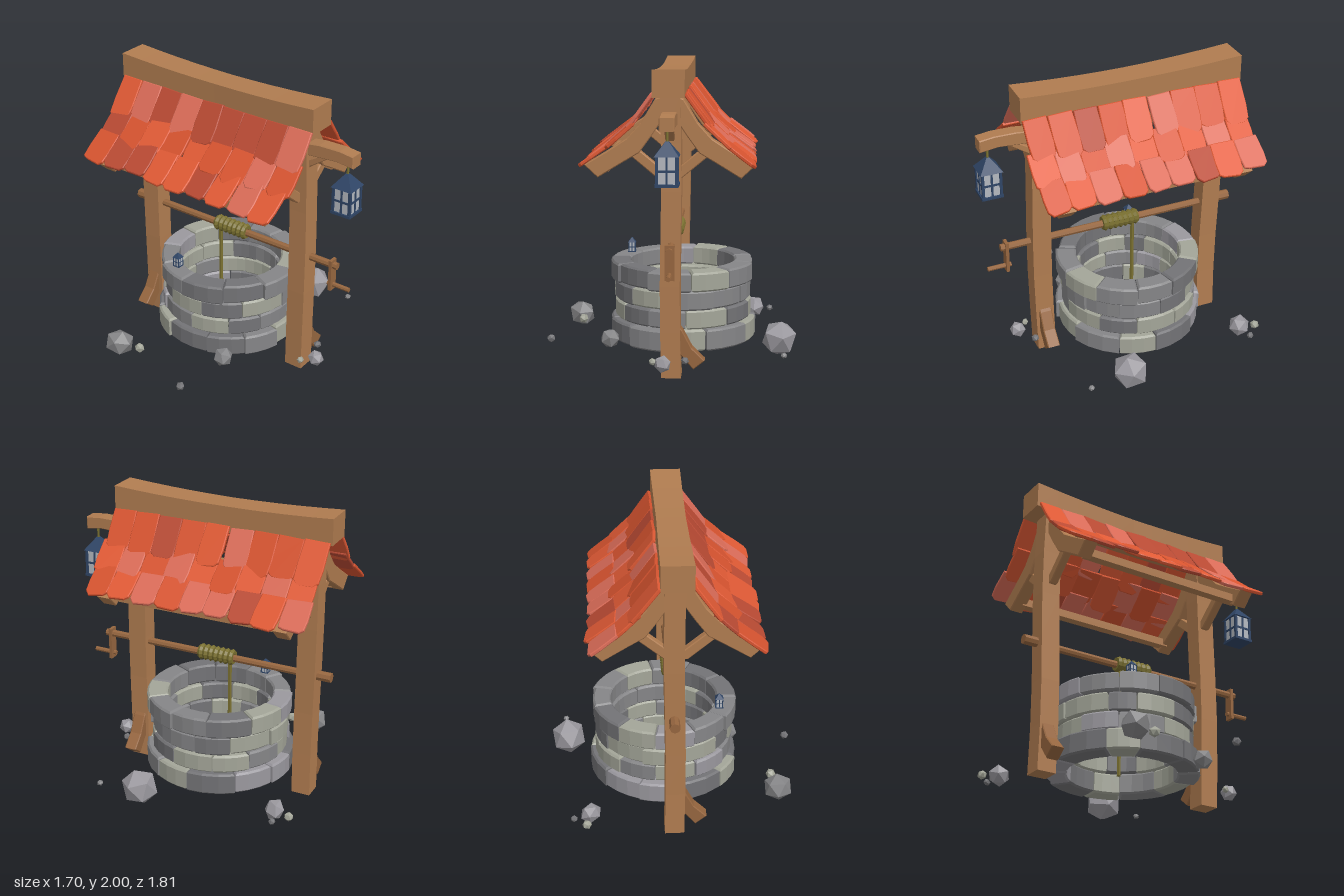
import * as THREE from 'three';

let seed = 7;
const rnd = () => (seed = (seed * 16807) % 2147483647) / 2147483647;
const jit = (a) => (rnd() * 2 - 1) * a;
const mat = (color) => new THREE.MeshStandardMaterial({ color, flatShading: true });
const WOOD = mat(0xb07c50), DARKWOOD = mat(0x96663f), ROPE = mat(0x7a7030);
const METAL = mat(0x2f4566), GLASS = mat(0xb4b8bf);
const STONES = [0x858587, 0x9a989e, 0xa3a598, 0x737376].map(mat);
const TILES = [0xe05a35, 0xb94a33, 0xdb6c58, 0xd6532f].map(mat);
const CX = 0.015; // centre line of the timber frame

export function createModel() {
  const root = new THREE.Group();

  const add = (name, geo, material, x = 0, y = 0, z = 0, parent = root) => {
    const m = new THREE.Mesh(geo, material);
    m.name = name;
    m.position.set(x, y, z);
    parent.add(m);
    return m;
  };
  const group = (name) => {
    const g = new THREE.Group();
    g.name = name;
    root.add(g);
    return g;
  };
  const box = (name, w, h, d, material, x, y, z, parent) =>
    add(name, new THREE.BoxGeometry(w, h, d), material, x, y, z, parent);
  // moves every vertex of a geometry by a rule
  const warp = (geo, fn) => {
    const p = geo.attributes.position, v = new THREE.Vector3();
    for (let i = 0; i < p.count; i++) {
      fn(v.fromBufferAttribute(p, i));
      p.setXYZ(i, v.x, v.y, v.z);
    }
    geo.computeVertexNormals();
    return geo;
  };
  // outline in x/y, extruded along z with a small bevel, from z0 to z1
  const slab = (pts, z0, z1, bevel = 0.006) => {
    const shape = new THREE.Shape(pts.map(([x, y]) => new THREE.Vector2(x, y)));
    return new THREE.ExtrudeGeometry(shape, {
      depth: z1 - z0 - 2 * bevel, bevelEnabled: true, bevelSegments: 1,
      bevelSize: bevel, bevelThickness: bevel, bevelOffset: -bevel,
    }).translate(0, 0, z0 + bevel);
  };

  // Posts, slightly crooked
  for (const [name, z] of [['frontPost', 0.508], ['backPost', -0.738]]) {
    const geo = warp(new THREE.BoxGeometry(0.128, 1.84, 0.13, 1, 6, 1), (v) => {
      v.z += 0.008 * Math.sin(v.y * 3 + z * 4);
      v.x += 0.005 * Math.sin(v.y * 4);
    });
    add(name, geo, WOOD, 0.025, 0.92, z);
  }

  // Sagging ridge beam
  const ridge = warp(new THREE.BoxGeometry(0.205, 0.175, 1.54, 1, 1, 10), (v) => {
    const t = Math.abs(v.z) / 0.77;
    v.y -= 0.028 * (1 - t * t);
    v.x *= 0.92 + 0.08 * t;
  });
  add('ridgeBeam', ridge, WOOD, CX, 1.9125, -0.13);

  // Curved rafters, braces and purlins
  const rafter = [[0.03, 1.83], [0.09, 1.81], [0.18, 1.66], [0.27, 1.56], [0.4, 1.475], [0.54, 1.39],
    [0.455, 1.31], [0.3, 1.405], [0.19, 1.47], [0.11, 1.58], [0.03, 1.7]];
  const brace = [[0.04, 1.30], [0.07, 1.30], [0.25, 1.45], [0.21, 1.50], [0.04, 1.36]];
  for (const s of [-1, 1]) {
    const flip = (pts) => pts.map(([x, y]) => [CX + s * x, y]);
    for (const [z0, z1] of [[0.445, 0.545], [-0.785, -0.69]]) {
      add('rafter', slab(flip(rafter), z0, z1), WOOD);
      add('rafterBrace', slab(flip(brace), z0 + 0.02, z1 - 0.02), WOOD);
    }
    box('purlin', 0.06, 0.055, 1.2, WOOD, CX + s * 0.42, 1.367, -0.12);
  }

  // Foot braces, one on each post on opposite sides
  const foot = [[0.03, 0.40], [0.1, 0.315], [0.16, 0.2], [0.245, 0.115], [0.17, 0.055], [0.1, 0.14], [0.03, 0.2]];
  for (const [s, z] of [[1, 0.508], [-1, -0.738]])
    add('footBrace', slab(foot.map(([x, y]) => [0.03 + s * (x - 0.03), y]), z - 0.043, z + 0.043), DARKWOOD);

  // Roof tiles: three overlapping rows per side, [x, y] of top and lower edge
  const rows = [[0.095, 1.845, 0.265, 1.615], [0.215, 1.665, 0.40, 1.495], [0.355, 1.535, 0.545, 1.395]];
  const tiles = group('roofTiles');
  for (const s of [-1, 1]) rows.forEach(([x0, y0, x1, y1], r) => {
    const n = 9, pitch = 1.53 / n, len = Math.hypot(x1 - x0, y1 - y0);
    const a = (x1 - x0) / len, b = (y0 - y1) / len;
    for (let i = 0; i < n; i++) {
      const w = pitch / 2 + 0.002 + jit(0.004), l = len + jit(0.015);
      const outline = [[-w * 0.94, 0], [w * 0.94, 0], [w, -l * 0.6], [w * 0.93, -l * 0.9], [w * 0.6, -l],
        [-w * 0.6, -l + jit(0.012)], [-w * 0.95, -l * 0.9], [-w, -l * 0.55]];
      const m = add('roofTile', slab(outline, 0, 0.024, 0.005), TILES[Math.floor(rnd() * 4)], 0, 0, 0, tiles);
      const basis = new THREE.Matrix4().makeBasis(
        new THREE.Vector3(0, 0, -s), new THREE.Vector3(-s * a, b, 0), new THREE.Vector3(s * b, a, 0));
      m.quaternion.setFromRotationMatrix(basis);
      m.rotateX(jit(0.03));
      m.rotateY(jit(0.07));
      m.rotateZ(jit(0.05));
      const z = -0.89 + pitch * (i + 0.5) + (r === 1 ? 0.015 : 0);
      m.position.set(CX + s * x0, y0 - 0.008 + jit(0.004), z);
    }
  });

  // Well wall: four rings of bevelled stones
  const wall = group('wellWall');
  wall.position.set(0.068, 0, -0.118);
  const rings = [[0.118, 0.262, 0.5, 0.36], [0.265, 0.39, 0.468, 0.355], [0.392, 0.522, 0.468, 0.35], [0.524, 0.655, 0.49, 0.36]];
  rings.forEach(([y0, y1, R, ri], r) => {
    const n = 11, edges = [];
    for (let i = 0; i < n; i++) edges.push((i + (r % 2) * 0.5 + jit(0.16)) * Math.PI * 2 / n);
    edges.push(edges[0] + Math.PI * 2);
    for (let i = 0; i < n; i++) {
      const a0 = edges[i] + 0.006, a1 = edges[i + 1] - 0.006, ro = R + jit(0.012), pts = [];
      for (let k = 0; k <= 3; k++) {
        const a = a0 + (a1 - a0) * k / 3;
        pts.push([ro * Math.cos(a), ro * Math.sin(a)]);
      }
      for (let k = 3; k >= 0; k--) {
        const a = a0 + (a1 - a0) * k / 3;
        pts.push([ri * Math.cos(a), ri * Math.sin(a)]);
      }
      const geo = slab(pts, y0 + jit(0.004), y1 + jit(0.004), 0.012).rotateX(-Math.PI / 2);
      add('wallStone', geo, STONES[Math.floor(rnd() * 4)], 0, 0, 0, wall);
    }
  });

  // Windlass: axle, crank, handle and rope
  const rod = (name, r, z0, z1, x, y, material) =>
    add(name, new THREE.CylinderGeometry(r, r, z1 - z0, 8).rotateX(Math.PI / 2), material, x, y, (z0 + z1) / 2);
  rod('axle', 0.025, -0.7, 0.79, 0.03, 0.88, DARKWOOD);
  rod('axleEnd', 0.034, -0.9, -0.68, 0.03, 0.885, DARKWOOD);
  box('crankArm', 0.062, 0.225, 0.022, DARKWOOD, 0.03, 0.807, 0.75);
  rod('crankHandle', 0.016, 0.72, 0.885, 0.03, 0.733, DARKWOOD);
  for (let i = 0; i < 7; i++)
    add('ropeCoil', new THREE.TorusGeometry(0.035, 0.021, 6, 12), ROPE, 0.03, 0.885, -0.182 + i * 0.037);
  add('hangingRope', new THREE.CylinderGeometry(0.014, 0.014, 0.76, 6), ROPE, 0.03, 0.48, -0.168);

  // Lantern arm with its small brace (side outline, turned to run along z)
  const sideways = (name, pts, half) => add(name, slab(pts, -half, half).rotateY(-Math.PI / 2), WOOD, 0.022);
  sideways('lanternArm', [[0.5, 1.64], [0.66, 1.652], [0.78, 1.66], [0.9, 1.645], [0.9, 1.73], [0.8, 1.742], [0.65, 1.74], [0.5, 1.72]], 0.047);
  sideways('armBrace', [[0.55, 1.53], [0.575, 1.56], [0.71, 1.655], [0.65, 1.66], [0.55, 1.6]], 0.03);
  add('lanternCord', new THREE.CylinderGeometry(0.009, 0.009, 0.1, 6), ROPE, 0.022, 1.61, 0.838);

  // Lanterns: glass core, frame bars and pyramid roof
  const lantern = (name, x, y, z, scale) => {
    const g = group(name);
    g.position.set(x, y, z);
    g.scale.setScalar(scale);
    box('glass', 0.122, 0.18, 0.122, GLASS, 0, 0.1, 0, g);
    box('lanternBase', 0.145, 0.018, 0.145, METAL, 0, 0.009, 0, g);
    for (const sx of [-1, 1]) {
      for (const sz of [-1, 1]) box('cornerBar', 0.018, 0.19, 0.018, METAL, sx * 0.06, 0.1, sz * 0.06, g);
      box('windowBar', 0.014, 0.18, 0.01, METAL, 0, 0.1, sx * 0.061, g);
      box('windowBar', 0.01, 0.18, 0.014, METAL, sx * 0.061, 0.1, 0, g);
    }
    box('crossBar', 0.132, 0.014, 0.132, METAL, 0, 0.098, 0, g);
    const roof = new THREE.CylinderGeometry(0.014, 0.108, 0.088, 4).rotateY(Math.PI / 4);
    add('lanternRoof', roof, METAL, 0, 0.23, 0, g);
  };
  lantern('hangingLantern', 0.022, 1.308, 0.838, 1);
  lantern('smallLantern', -0.3, 0.655, -0.288, 0.365);

  // Loose rocks: x, y, z, radius
  const rocks = [
    [-0.69, 0.14, -0.51, 0.1], [0.735, 0.165, 0.155, 0.12], [-0.66, 0.14, -0.355, 0.037],
    [-0.82, 0.13, 0.135, 0.03], [0.76, 0.13, 0.445, 0.021], [0.575, 0.15, -0.75, 0.075],
    [0.6, 0.14, -0.86, 0.033], [0.685, 0.13, -0.78, 0.023], [-0.41, 0.15, 0.18, 0.07],
    [-0.02, 0.13, 0.68, 0.06], [-0.09, 0.12, 0.6, 0.025], [0.12, 0.13, 0.6, 0.028],
  ];
  rocks.forEach(([x, y, z, r], i) => {
    const m = add('rock', new THREE.IcosahedronGeometry(r, 0), STONES[i % 4], x, y, z);
    m.scale.set(1 + jit(0.08), 0.95 + jit(0.1), 1 + jit(0.08));
    m.rotation.set(jit(1), jit(3), jit(1));
  });

  return root;
}
